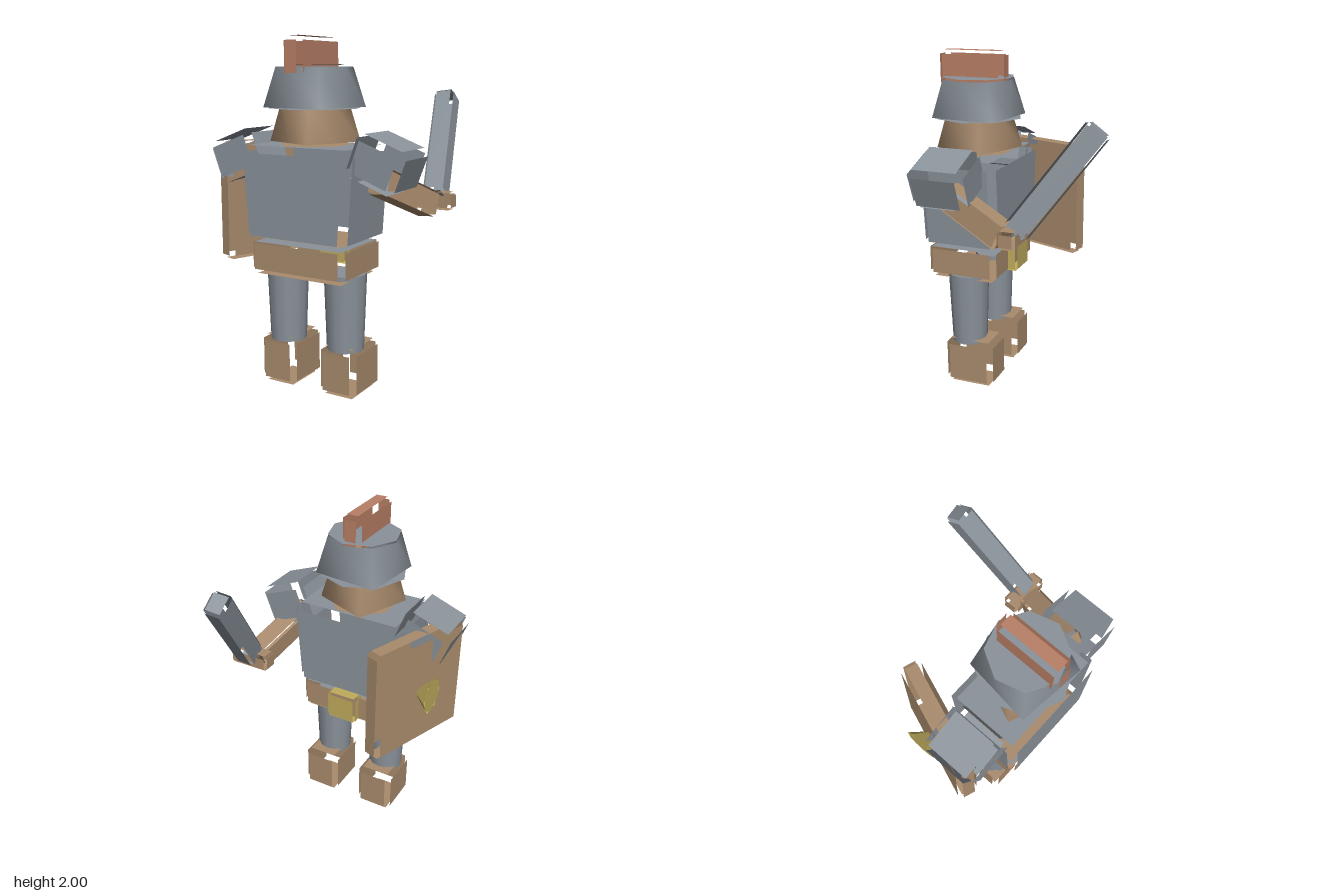
import * as THREE from 'three';

const paint = (name, color) => {
  const m = new THREE.MeshStandardMaterial({ color, side: THREE.DoubleSide });
  m.name = name;
  return m;
};

export function createModel() {
  const steel = paint('steel', 0x8a929a);
  const leather = paint('leather', 0xa98b6d);
  const brass = paint('brass', 0xbfac5c);
  const plume = paint('plume', 0xb87f66);

  const model = new THREE.Group();
  const CX = -0.015, CZ = 0.325; // body axis

  const add = (name, geometry, material, x = 0, y = 0, z = 0) => {
    const mesh = new THREE.Mesh(geometry, material);
    mesh.name = name;
    mesh.position.set(x, y, z);
    model.add(mesh);
    return mesh;
  };

  // Box made of six loose plates, each pushed out along its normal by gap
  const plateBox = (w, h, d, gap = 0.03, taper = 1) => {
    const g = new THREE.BoxGeometry(w, h, d);
    const p = g.attributes.position, n = g.attributes.normal;
    for (let i = 0; i < p.count; i++) {
      const k = p.getY(i) < 0 ? taper : 1;
      p.setXYZ(i, p.getX(i) * k + n.getX(i) * gap, p.getY(i) + n.getY(i) * gap, p.getZ(i) + n.getZ(i) * gap);
    }
    if (taper !== 1) g.computeVertexNormals();
    return g;
  };

  // Shell blending a square lower rim into an octagonal upper rim
  const flaredShell = (bottomR, topR, height, turn) => {
    const pos = [], index = [];
    for (let i = 0; i < 8; i++) {
      const a = turn + (i * Math.PI) / 4;
      const r = i % 2 ? bottomR * Math.SQRT1_2 : bottomR;
      pos.push(r * Math.cos(a), 0, r * Math.sin(a), topR * Math.cos(a), height, topR * Math.sin(a));
      const b = 2 * i, c = 2 * ((i + 1) % 8);
      index.push(b, b + 1, c + 1, b, c + 1, c);
    }
    const g = new THREE.BufferGeometry();
    g.setAttribute('position', new THREE.Float32BufferAttribute(pos, 3));
    g.setIndex(index);
    g.computeVertexNormals();
    return g;
  };

  const disc = (r, sides, turn, up) =>
    new THREE.CircleGeometry(r, sides, turn).rotateX(up ? -Math.PI / 2 : Math.PI / 2);

  // Plate box whose length runs between two points
  const beam = (name, material, from, to, w, d, gap) => {
    const a = new THREE.Vector3(...from), b = new THREE.Vector3(...to);
    const mid = a.clone().add(b).multiplyScalar(0.5);
    const mesh = add(name, plateBox(w, a.distanceTo(b), d, gap), material, mid.x, mid.y, mid.z);
    // keep the width axis as level as possible
    const yAxis = b.sub(a).normalize();
    const zAxis = new THREE.Vector3(1, 0, 0).cross(yAxis).normalize();
    const xAxis = yAxis.clone().cross(zAxis);
    mesh.quaternion.setFromRotationMatrix(new THREE.Matrix4().makeBasis(xAxis, yAxis, zAxis));
    return mesh;
  };

  // Legs, boots and shoulder guards
  for (const s of [-1, 1]) {
    const side = s > 0 ? 'left' : 'right';
    add(side + 'Boot', plateBox(0.175, 0.225, 0.245), leather, CX + s * 0.2, 0.143, 0.288);
    add(side + 'Leg', new THREE.CylinderGeometry(0.122, 0.106, 0.445, 12), steel, CX + s * 0.195, 0.482, CZ);
    const guard = add(side + 'ShoulderGuard', plateBox(0.235, 0.18, 0.265, 0.035), steel, CX + s * 0.453, 1.337, CZ);
    guard.rotation.z = -s * 0.36;
  }

  // Body
  add('belt', plateBox(0.55, 0.15, 0.37), leather, CX, 0.785, CZ);
  add('buckle', plateBox(0.17, 0.15, 0.075, 0.012), brass, CX, 0.785, 0.102);
  add('torso', plateBox(0.63, 0.465, 0.395, 0.04, 0.9), steel, CX, 1.138, CZ);

  // Head
  add('head', flaredShell(0.255, 0.2, 0.185, -0.4), leather, CX, 1.43, CZ);
  add('headBase', disc(0.2, 8, 0.4, false), leather, CX, 1.415, CZ);

  // Helmet with brim and crest
  add('helmet', flaredShell(0.285, 0.215, 0.22, 0.9), steel, CX, 1.618, CZ);
  add('helmetTop', disc(0.215, 8, -0.9, true), steel, CX, 1.85, CZ);
  add('helmetBrim', disc(0.262, 8, 0, false), steel, CX, 1.615, CZ);
  add('crest', plateBox(0.07, 0.17, 0.355, 0.025), plume, CX, 1.89, 0.353);

  // Sword arm, hilt and blade
  beam('swordArm', leather, [0.40, 1.235, 0.34], [0.512, 1.068, -0.04], 0.11, 0.115, 0.015);
  add('swordHilt', plateBox(0.225, 0.07, 0.075, 0.015), leather, 0.513, 1.085, -0.105);
  beam('swordBlade', steel, [0.52, 1.12, -0.13], [0.408, 1.655, -0.522], 0.09, 0.11, 0.015);

  // Shield with a flared boss on its outer side
  const shield = add('shield', plateBox(0.075, 0.65, 0.63, 0.025), leather, -0.468, 1.06, 0.115);
  shield.rotation.y = -0.34;
  const boss = new THREE.ConeGeometry(0.11, 0.11, 6, 1, true).toNonIndexed();
  boss.computeVertexNormals();
  boss.rotateZ(-Math.PI / 2);
  add('shieldBoss', boss, brass, -0.542, 1.06, 0.083);
  const bossFace = new THREE.CircleGeometry(0.11, 6, Math.PI / 2).rotateY(-Math.PI / 2);
  add('shieldBossFace', bossFace, brass, -0.597, 1.06, 0.083);

  return model;
}
